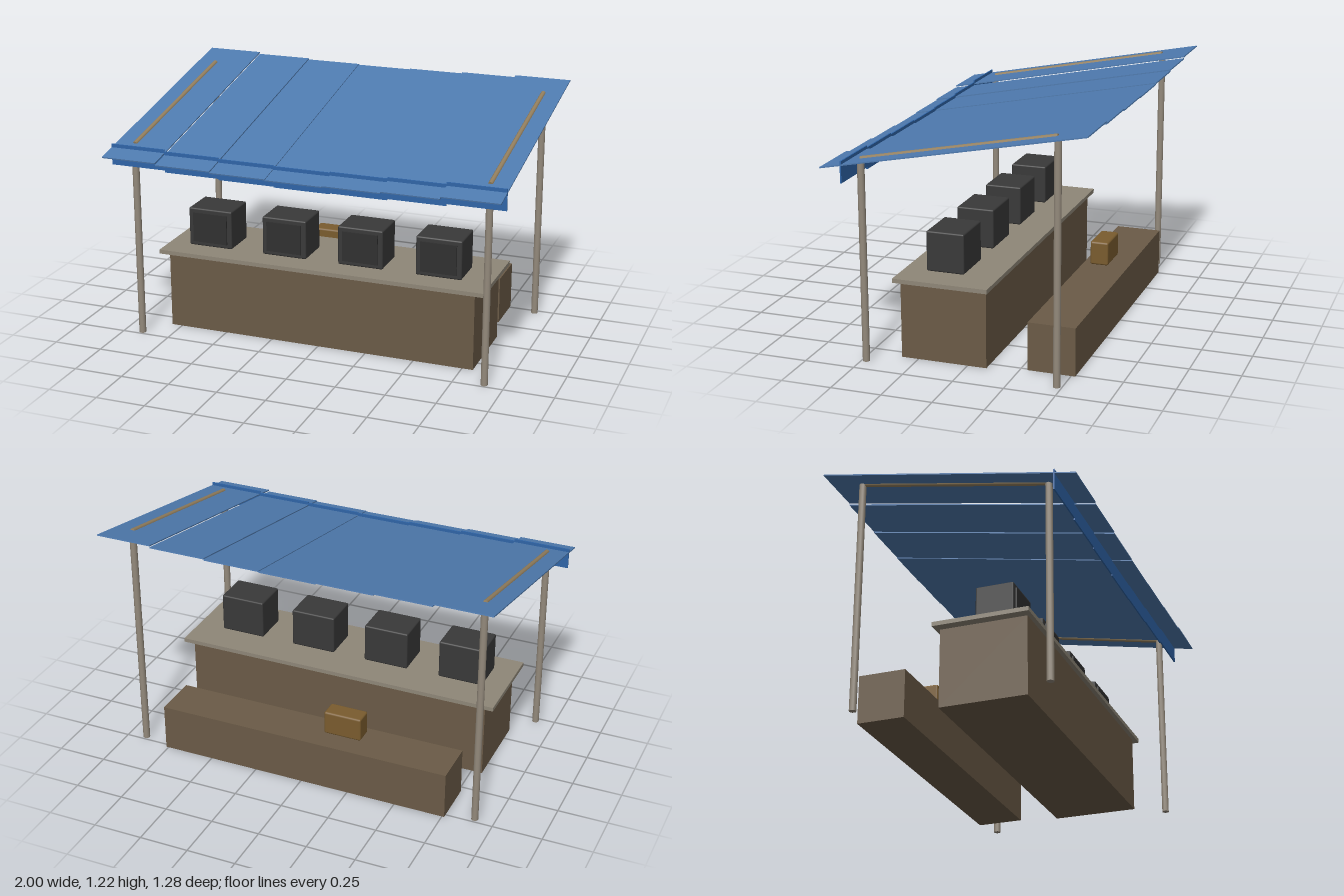
import * as THREE from 'three';
import { RoundedBoxGeometry } from 'three/addons/geometries/RoundedBoxGeometry.js';

export function createModel() {
  const model = new THREE.Group();
  model.name = 'marketStall';

  const material = (name, color) => {
    const m = new THREE.MeshStandardMaterial({ color });
    m.name = name;
    return m;
  };
  const roofBlue = material('roofBlue', 0x4f7bb0);
  const valanceBlue = material('valanceBlue', 0x2f65a8);
  const poleGrey = material('poleGrey', 0x948a7c);
  const beamTan = material('beamTan', 0x94805f);
  const counterBrown = material('counterBrown', 0x6b5b47);
  const topGrey = material('counterTopGrey', 0x8f8778);
  const caseGrey = material('caseGrey', 0x393939);
  const screenGrey = material('screenGrey', 0x303030);
  const crateOchre = material('crateOchre', 0x7a5c2e);

  const add = (name, geometry, mat, x, y, z) => {
    const mesh = new THREE.Mesh(geometry, mat);
    mesh.name = name;
    mesh.position.set(x, y, z);
    model.add(mesh);
    return mesh;
  };
  // Box given by its limits on each axis
  const block = (name, mat, [x0, x1], [y0, y1], [z0, z1], radius = 0) => {
    const size = [x1 - x0, y1 - y0, z1 - z0];
    const geometry = radius
      ? new RoundedBoxGeometry(...size, 2, radius)
      : new THREE.BoxGeometry(...size);
    return add(name, geometry, mat, (x0 + x1) / 2, (y0 + y1) / 2, (z0 + z1) / 2);
  };

  // Sloping roof: seven strips that sag in steps toward the middle
  const slope = Math.atan(0.2);
  const roofY = 1.094;
  const strip = 2 / 7;
  const drops = [0.02, 0.016, 0.01, 0];
  for (let i = -3; i <= 3; i++) {
    const drop = drops[Math.abs(i)];
    const x = i * strip;
    const panel = add('roofPanel', new THREE.BoxGeometry(strip, 0.006, 1.305), roofBlue, x, roofY - drop, 0);
    panel.rotation.x = slope;
    // Hanging front valance
    add('valance', new THREE.BoxGeometry(strip, 0.105, 0.007), valanceBlue, x, 0.954 - drop, 0.534);
  }

  // Poles and the sloping side beams
  const pole = (x, z, height) =>
    add('pole', new THREE.CylinderGeometry(0.0175, 0.0175, height, 12), poleGrey, x, height / 2, z);
  for (const x of [-0.903, 0.903]) {
    pole(x, 0.477, 0.995);
    pole(x, -0.475, 1.186);
    const beam = add('roofBeam', new THREE.CylinderGeometry(0.0125, 0.0125, 0.97, 10), beamTan, x, roofY, 0);
    beam.rotation.x = Math.PI / 2 + slope;
  }

  // Counter
  block('counter', counterBrown, [-0.805, 0.805], [0, 0.39], [-0.095, 0.335]);
  block('counterTop', topGrey, [-0.853, 0.853], [0.39, 0.411], [-0.117, 0.357]);

  // Row of cased monitors with front screens
  for (let i = 0; i < 4; i++) {
    const x = -0.62 + i * 0.404;
    block('monitorCase', caseGrey, [x - 0.117, x + 0.117], [0.415, 0.615], [0.05, 0.24], 0.008);
    block('monitorScreen', screenGrey, [x - 0.092, x + 0.092], [0.438, 0.592], [0.239, 0.248]);
  }

  // Back bench with a small crate
  block('bench', counterBrown, [-0.762, 0.762], [0, 0.24], [-0.52, -0.285]);
  block('crate', crateOchre, [-0.28, -0.085], [0.25, 0.372], [-0.425, -0.331], 0.01);

  return model;
}
